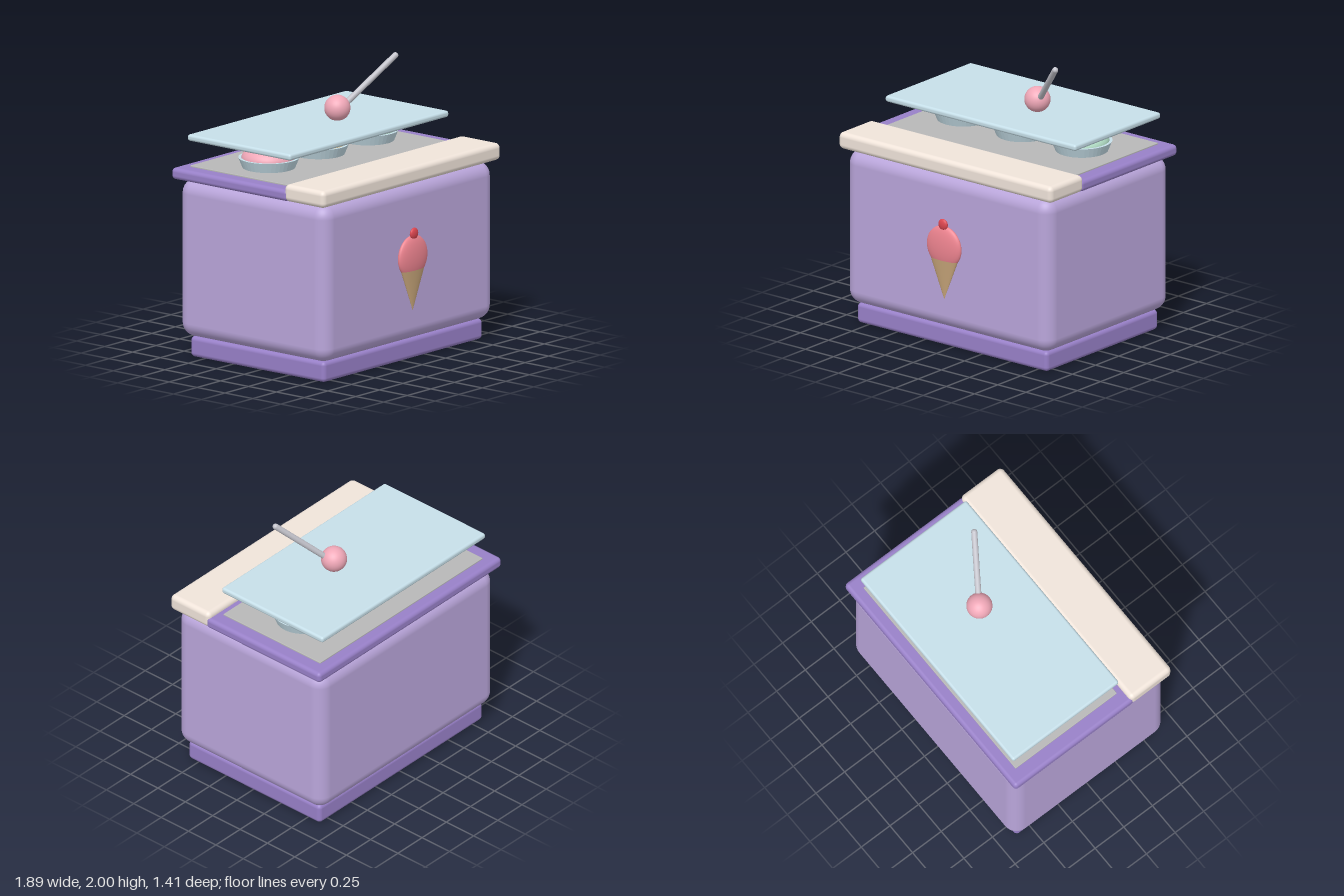
import * as THREE from 'three';
import { RoundedBoxGeometry } from 'three/addons/geometries/RoundedBoxGeometry.js';

const COLORS = {
  body: 0xb9a5da, trim: 0x9880c8, counter: 0xf0e4da, glass: 0xc6dfe9, metal: 0xc4c4cc, tray: 0xb8b8b8,
  pink: 0xf0a8b8, yellow: 0xf5d596, mint: 0xb4e0c8, wafer: 0xc8a67a, berry: 0xee8490, cherry: 0xdc4650,
};
const materials = {};
for (const key in COLORS) materials[key] = new THREE.MeshStandardMaterial({ color: COLORS[key] });
materials.glass.side = THREE.DoubleSide;

export function createModel() {
  const model = new THREE.Group();

  const add = (name, geometry, color, x = 0, y = 0, z = 0, parent = model) => {
    const mesh = new THREE.Mesh(geometry, materials[color]);
    mesh.name = name;
    mesh.position.set(x, y, z);
    parent.add(mesh);
    return mesh;
  };
  // Rounded slab given by half width, y range and z range
  const slab = (name, color, hx, y0, y1, z0, z1, r) =>
    add(name, new RoundedBoxGeometry(hx * 2, y1 - y0, z1 - z0, 5, r), color, 0, (y0 + y1) / 2, (z0 + z1) / 2);

  // Cabinet
  slab('base', 'trim', 0.845, 0, 0.145, -0.62, 0.585, 0.03);
  slab('cabinet', 'body', 0.905, 0.145, 1.255, -0.685, 0.645, 0.1);
  slab('topRim', 'trim', 0.945, 1.255, 1.335, -0.705, 0.335, 0.028);
  slab('counter', 'counter', 0.945, 1.255, 1.375, 0.305, 0.665, 0.035);
  slab('tray', 'tray', 0.84, 1.315, 1.345, -0.62, 0.265, 0.004);
  slab('glassLid', 'glass', 0.845, 1.515, 1.56, -0.645, 0.28, 0.018);

  // Tubs, each with a mound of ice cream
  const tubProfile = [[0, 1.34], [0.18, 1.34], [0.21, 1.415], [0.19, 1.415], [0.18, 1.39], [0, 1.39]]
    .map(([x, y]) => new THREE.Vector2(x, y));
  ['pink', 'yellow', 'mint'].forEach((flavour, i) => {
    const tub = new THREE.Group();
    tub.name = 'tub' + (i + 1);
    tub.position.set((i - 1) * 0.525, 0, -0.18);
    model.add(tub);
    const bowl = new THREE.LatheGeometry(tubProfile, 40).toNonIndexed();
    bowl.computeVertexNormals();
    add('bowl', bowl, 'glass', 0, 0, 0, tub);
    add('iceCream', new THREE.SphereGeometry(0.19, 40, 24), flavour, 0, 1.405, 0, tub).scale.y = 0.53;
  });

  // Scoop resting on the lid
  add('scoopBall', new THREE.SphereGeometry(0.09, 32, 24), 'pink', 0.16, 1.64, -0.145);
  const start = new THREE.Vector3(0.2, 1.655, -0.12);
  const end = new THREE.Vector3(0.505, 1.982, 0.083);
  const dir = end.clone().sub(start);
  const handle = add('scoopHandle', new THREE.CapsuleGeometry(0.021, dir.length(), 6, 20), 'metal');
  handle.position.copy(start).addScaledVector(dir, 0.5);
  handle.quaternion.setFromUnitVectors(new THREE.Vector3(0, 1, 0), dir.normalize());

  // Flattened cone emblem on the front
  const emblem = new THREE.Group();
  emblem.name = 'coneEmblem';
  emblem.position.z = 0.665;
  model.add(emblem);
  const wafer = new THREE.ConeGeometry(0.135, 0.33, 32).rotateX(Math.PI);
  add('wafer', wafer, 'wafer', 0, 0.535, 0, emblem).scale.z = 0.27;
  add('emblemScoop', new THREE.SphereGeometry(0.15, 32, 24), 'berry', 0, 0.75, 0, emblem).scale.z = 0.27;
  add('cherry', new THREE.SphereGeometry(0.04, 24, 16), 'cherry', 0, 0.913, 0.012, emblem).scale.z = 0.45;

  return model;
}
